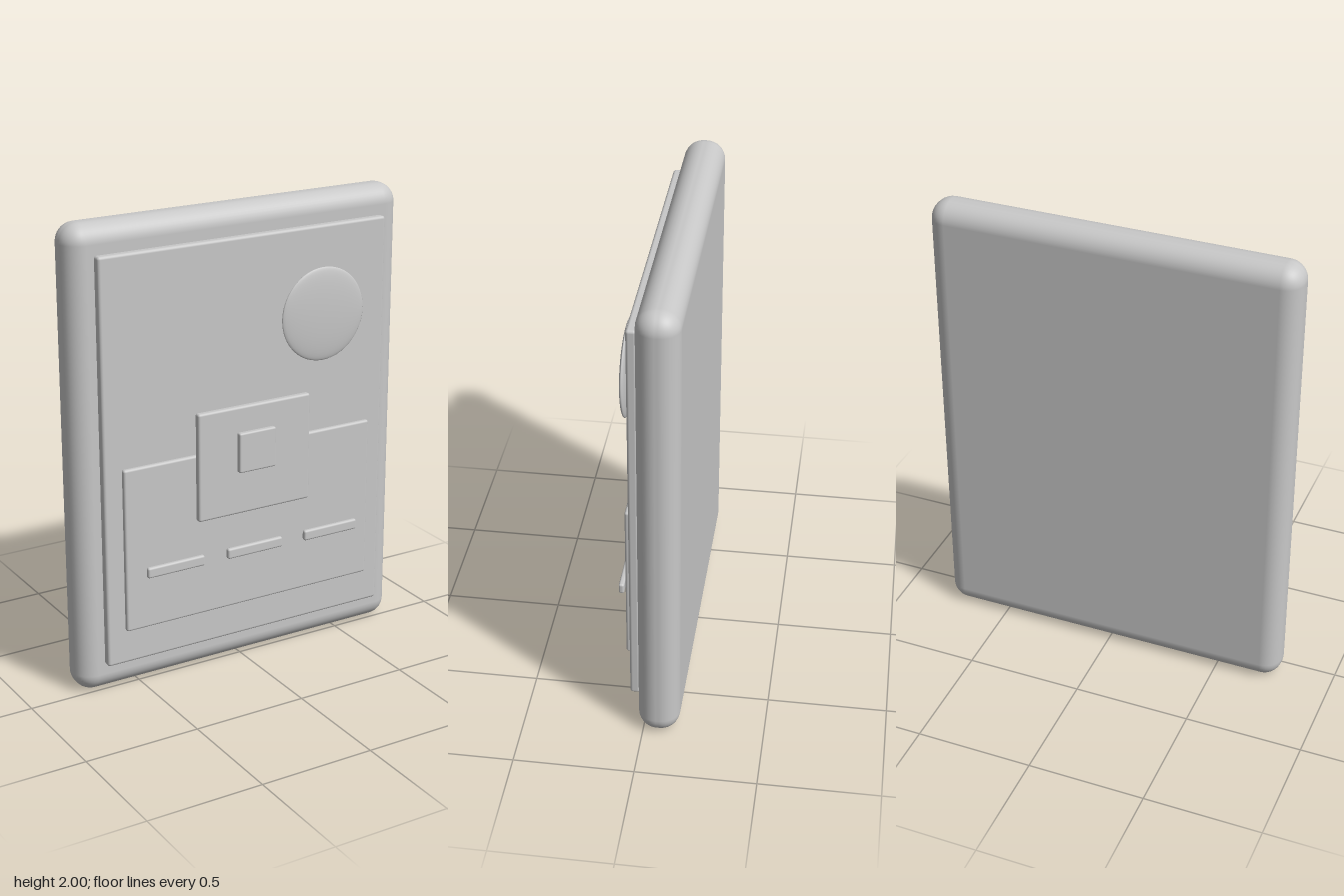
import * as THREE from 'three';
import { RoundedBoxGeometry } from 'three/addons/geometries/RoundedBoxGeometry.js';

export function createModel() {
  const model = new THREE.Group();
  const grey = new THREE.MeshStandardMaterial({ color: 0xc8c8c8 });
  grey.name = 'light grey';

  // Rounded plate given by its extents: x centre and width, y range, z range
  function plate(name, x, width, y0, y1, z0, z1, radius, segments = 3) {
    const geometry = new RoundedBoxGeometry(width, y1 - y0, z1 - z0, segments, radius);
    const mesh = new THREE.Mesh(geometry, grey);
    mesh.name = name;
    mesh.position.set(x, (y0 + y1) / 2, (z0 + z1) / 2);
    model.add(mesh);
  }

  // Thick soft-edged slab and the stacked panels on its front
  plate('body', 0, 1.56, 0, 2, -0.15, 0.023, 0.08, 5);
  plate('facePanel', 0, 1.346, 0.13, 1.88, 0.023, 0.065, 0.012);
  plate('lowerPanel', 0, 1.19, 0.283, 0.997, 0.065, 0.091, 0.01);
  plate('centrePlate', 0, 0.538, 0.715, 1.186, 0.094, 0.126, 0.01);
  plate('centreButton', 0, 0.176, 0.904, 1.078, 0.123, 0.15, 0.008);

  // Row of three bars
  for (const x of [-0.38, 0, 0.38]) {
    plate('bar', x, 0.268, 0.521, 0.567, 0.11, 0.133, 0.009);
  }

  // Flattened round dome, floating just above the face panel
  const disc = new THREE.Mesh(new THREE.SphereGeometry(0.2, 32, 24), grey);
  disc.name = 'roundDome';
  disc.scale.z = 0.1;
  disc.position.set(0.338, 1.516, 0.107);
  model.add(disc);

  return model;
}
